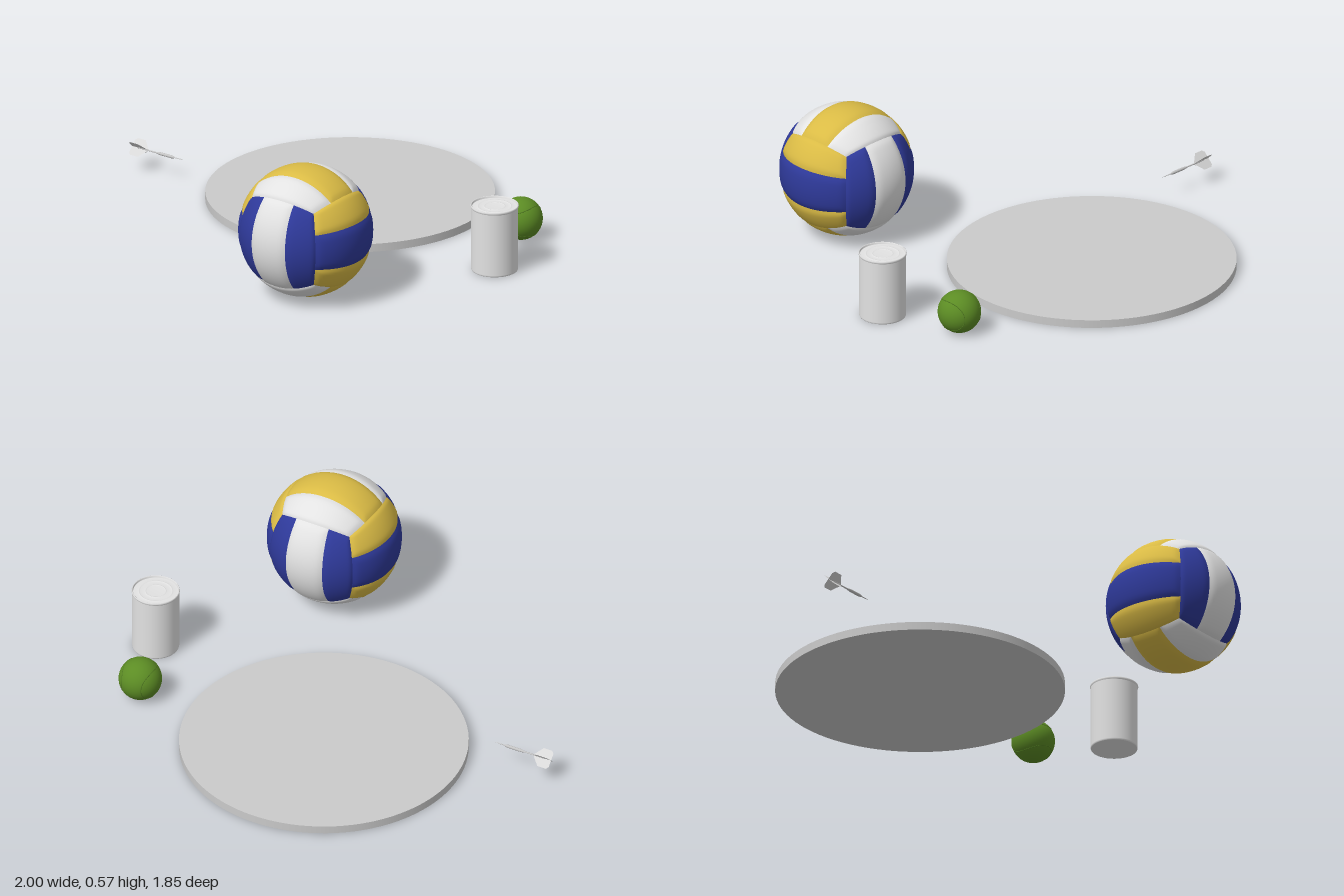
import * as THREE from 'three';

const mat = (name, color, side = THREE.FrontSide) => {
  const m = new THREE.MeshStandardMaterial({ color, side });
  m.name = name;
  return m;
};

function add(parent, name, geometry, material, x = 0, y = 0, z = 0) {
  const m = new THREE.Mesh(geometry, material);
  m.name = name;
  m.position.set(x, y, z);
  parent.add(m);
  return m;
}

function group(parent, name, x, y, z) {
  const g = new THREE.Group();
  g.name = name;
  g.position.set(x, y, z);
  parent.add(g);
  return g;
}

const lathe = (pts, seg) => new THREE.LatheGeometry(pts.map(p => new THREE.Vector2(...p)), seg);

// One padded ball panel: a strip of a cube face pushed out to the sphere, sunk along its rim.
// n = face normal, s = axis the face is split along, l = long axis, strip = -1, 0 or 1
function panelGeometry(n, s, l, strip, R) {
  const geo = new THREE.PlaneGeometry(1, 1, 14, 32);
  const pos = geo.attributes.position, p = new THREE.Vector3();
  for (let i = 0; i < pos.count; i++) {
    const a = pos.getX(i), b = pos.getY(i);
    const v = Math.tan(b * Math.PI / 2);
    const w = 0.33 + 0.08 * v * v;
    const u = strip === 0 ? 2 * a * w : strip * (1 + w) / 2 + a * (1 - w);
    const edge = Math.min((0.5 - Math.abs(a)) * 0.67, (0.5 - Math.abs(b)) * 2);
    const dip = Math.max(0, 1 - edge / 0.13);
    p.copy(n).addScaledVector(s, u).addScaledVector(l, v);
    p.setLength(R - 0.006 * dip * dip);
    pos.setXYZ(i, p.x, p.y, p.z);
  }
  geo.computeVertexNormals();
  return geo;
}

function buildVolleyball(parent, white, yellow, blue) {
  const g = group(parent, 'volleyball', 0.425, 0.286, 0.64);
  const X = new THREE.Vector3(1, 0, 0), Y = new THREE.Vector3(0, 1, 0), Z = new THREE.Vector3(0, 0, 1);
  const faces = [
    { name: 'Front', n: Z, s: X, l: Y, outer: blue, inner: white },
    { name: 'Side', n: X, s: Y, l: Z, outer: yellow, inner: blue },
    { name: 'Top', n: Y, s: Z, l: X, outer: white, inner: yellow },
  ];
  for (const f of faces) for (const sign of [1, -1]) for (const strip of [-1, 0, 1]) {
    const geo = panelGeometry(f.n.clone().multiplyScalar(sign), f.s.clone().multiplyScalar(sign), f.l, strip, 0.282);
    add(g, 'panel' + f.name, geo, strip === 0 ? f.inner : f.outer);
  }
}

// Closed seam that winds around a ball in two opposite U-shaped lobes
class SeamCurve extends THREE.Curve {
  constructor(r) { super(); this.r = r; }
  getPoint(k, target = new THREE.Vector3()) {
    const t = k * Math.PI * 2;
    const a = 0.75 * Math.cos(t) + 0.25 * Math.cos(3 * t);
    const b = 0.75 * Math.sin(t) - 0.25 * Math.sin(3 * t);
    return target.set((a - b) * Math.SQRT1_2, (a + b) * Math.SQRT1_2, 0.866 * Math.sin(2 * t))
      .multiplyScalar(this.r);
  }
}

function buildDart(parent, metal, flightMat) {
  const g = group(parent, 'dart', -1, 0.097, -0.065);
  // Needle, grip and shaft turned as one profile, laid along +x
  const body = add(g, 'dartBody', lathe([
    [0, 0.03], [0.003, 0.032], [0.003, 0.125], [0.005, 0.135], [0.0065, 0.15],
    [0.0065, 0.205], [0.005, 0.215], [0.002, 0.222], [0.0015, 0.25], [0, 0.272],
  ], 16), metal);
  body.rotation.z = -Math.PI / 2;
  // Four crossed flights
  const s = new THREE.Shape();
  s.moveTo(0.085, 0);
  s.lineTo(0.05, 0.04);
  s.lineTo(0.01, 0.04);
  s.lineTo(0, 0.03);
  s.lineTo(0, 0);
  const geo = new THREE.ShapeGeometry(s);
  for (let i = 0; i < 4; i++) {
    add(g, 'flight', geo, flightMat).rotation.x = Math.PI / 4 + i * Math.PI / 2;
  }
}

export function createModel() {
  const root = new THREE.Group();
  root.name = 'sportsSet';
  const white = mat('white', 0xe2e2e2);
  const yellow = mat('yellow', 0xdabb45);
  const blue = mat('blue', 0x2e3999);
  const green = mat('green', 0x5c8c24);
  const seamGreen = mat('seamGreen', 0x4f7a20);
  const grey = mat('boardGrey', 0xcacaca);
  const metal = mat('dartGrey', 0xc4c4c4);
  const flight = mat('flightWhite', 0xd8d8d8, THREE.DoubleSide);

  // Flat round board
  add(root, 'roundBoard', new THREE.CylinderGeometry(0.605, 0.605, 0.035, 96), grey, -0.06, 0.0175, -0.325);

  buildVolleyball(root, white, yellow, blue);

  // Small ball with winding seam
  const ball = group(root, 'smallBall', 0.78, 0.092, -0.39);
  add(ball, 'smallBallBody', new THREE.SphereGeometry(0.091, 48, 32), green);
  add(ball, 'smallBallSeam', new THREE.TubeGeometry(new SeamCurve(0.0905), 160, 0.0018, 6, true), seamGreen);

  // Can with rolled rim and ringed, recessed lid
  add(root, 'can', lathe([
    [0, 0], [0.096, 0], [0.0965, 0.0003], [0.098, 0.003], [0.0985, 0.006], [0.0985, 0.007],
    [0.0985, 0.278], [0.0985, 0.279], [0.1, 0.281], [0.101, 0.285], [0.1, 0.289], [0.098, 0.29],
    [0.096, 0.288], [0.095, 0.282], [0.094, 0.281], [0.074, 0.281], [0.072, 0.283], [0.068, 0.283],
    [0.066, 0.281], [0.046, 0.281], [0.044, 0.283], [0.041, 0.283], [0.039, 0.281], [0, 0.281],
  ], 64), white, 0.895, 0, -0.05);

  buildDart(root, metal, flight);
  return root;
}
